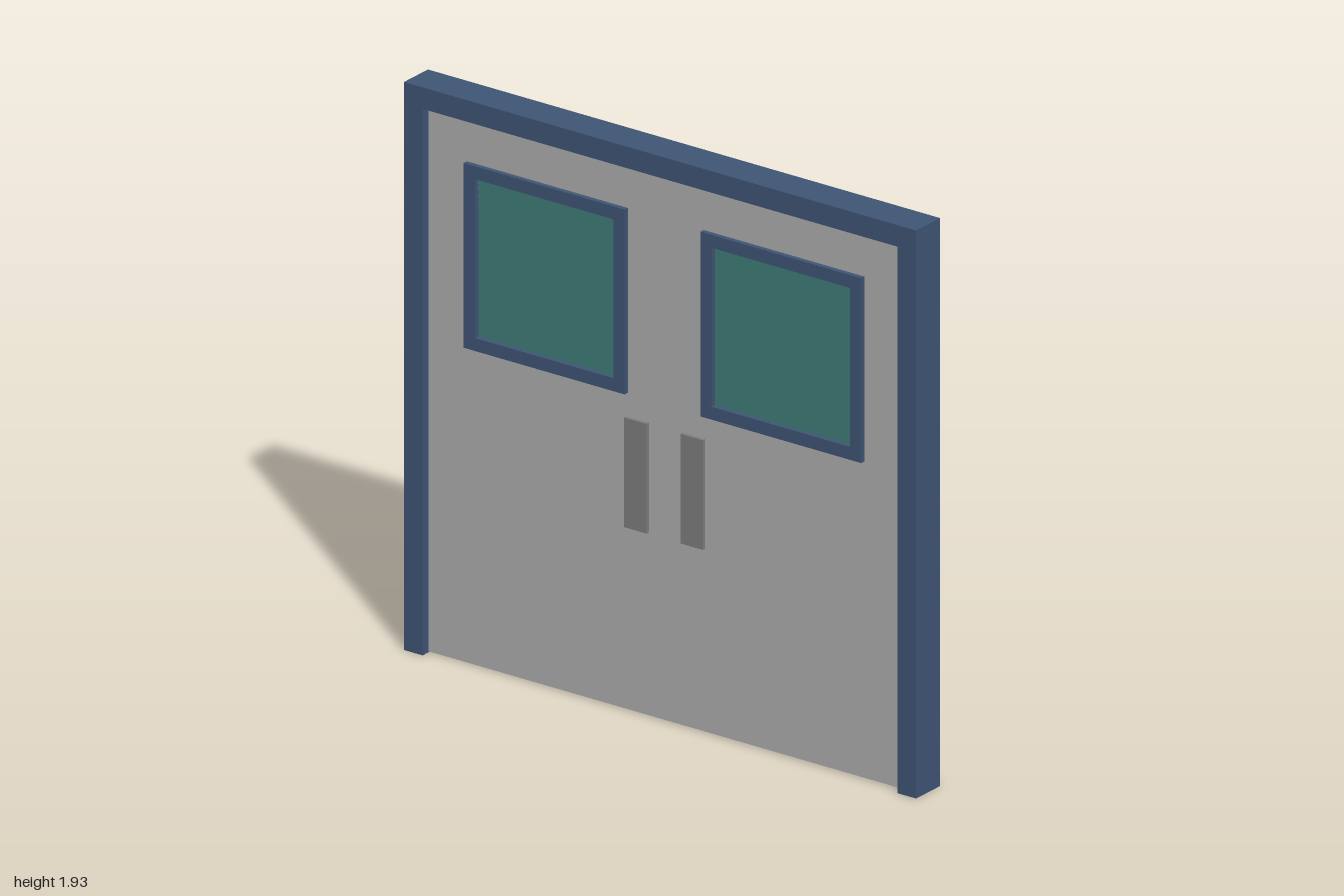
import * as THREE from 'three';

const mat = (color) => new THREE.MeshStandardMaterial({ color, flatShading: true });

// Closed outline of a rectangle
function trace(path, x0, y0, x1, y1) {
  path.moveTo(x0, y0);
  path.lineTo(x1, y0);
  path.lineTo(x1, y1);
  path.lineTo(x0, y1);
  path.closePath();
  return path;
}

// Extrude a shape so it is centred on z = 0
function slab(name, shape, depth, material) {
  const geometry = new THREE.ExtrudeGeometry(shape, { depth, bevelEnabled: false });
  geometry.translate(0, 0, -depth / 2);
  const mesh = new THREE.Mesh(geometry, material);
  mesh.name = name;
  return mesh;
}

export function createModel() {
  const group = new THREE.Group();
  group.name = 'doubleDoor';
  const blue = mat(0x3f5676);
  const grey = mat(0xb0b0b0);
  const darkGrey = mat(0x808080);
  const green = mat(0x40807a);

  // Door frame: two jambs and a header as one arch
  const arch = new THREE.Shape();
  [[-1, 0], [-0.927, 0], [-0.927, 1.857], [0.927, 1.857], [0.927, 0], [1, 0], [1, 1.93], [-1, 1.93]]
    .forEach(([x, y], i) => (i ? arch.lineTo(x, y) : arch.moveTo(x, y)));
  arch.closePath();
  group.add(slab('doorFrame', arch, 0.126, blue));

  // Door panel with two window openings
  const panel = trace(new THREE.Shape(), -0.927, 0.004, 0.927, 1.857);

  for (const side of [-1, 1]) {
    const label = side > 0 ? 'left' : 'right';
    const cx = side * 0.462, cy = 1.393;
    const outer = 0.314, inner = 0.27;
    const square = (path, r) => trace(path, cx - r, cy - r, cx + r, cy + r);
    panel.holes.push(square(new THREE.Path(), inner));

    // Window surround, standing proud of both door faces
    const surround = square(new THREE.Shape(), outer);
    surround.holes.push(square(new THREE.Path(), inner));
    group.add(slab(label + 'WindowFrame', surround, 0.1, blue));

    // Glass pane
    group.add(slab(label + 'WindowGlass', square(new THREE.Shape(), inner), 0.064, green));

    // Push plate, showing on both faces
    const plate = trace(new THREE.Shape(), side * 0.11 - 0.044, 0.625, side * 0.11 + 0.044, 0.998);
    group.add(slab(label + 'PushPlate', plate, 0.09, darkGrey));
  }

  group.add(slab('doorPanel', panel, 0.066, grey));
  return group;
}
